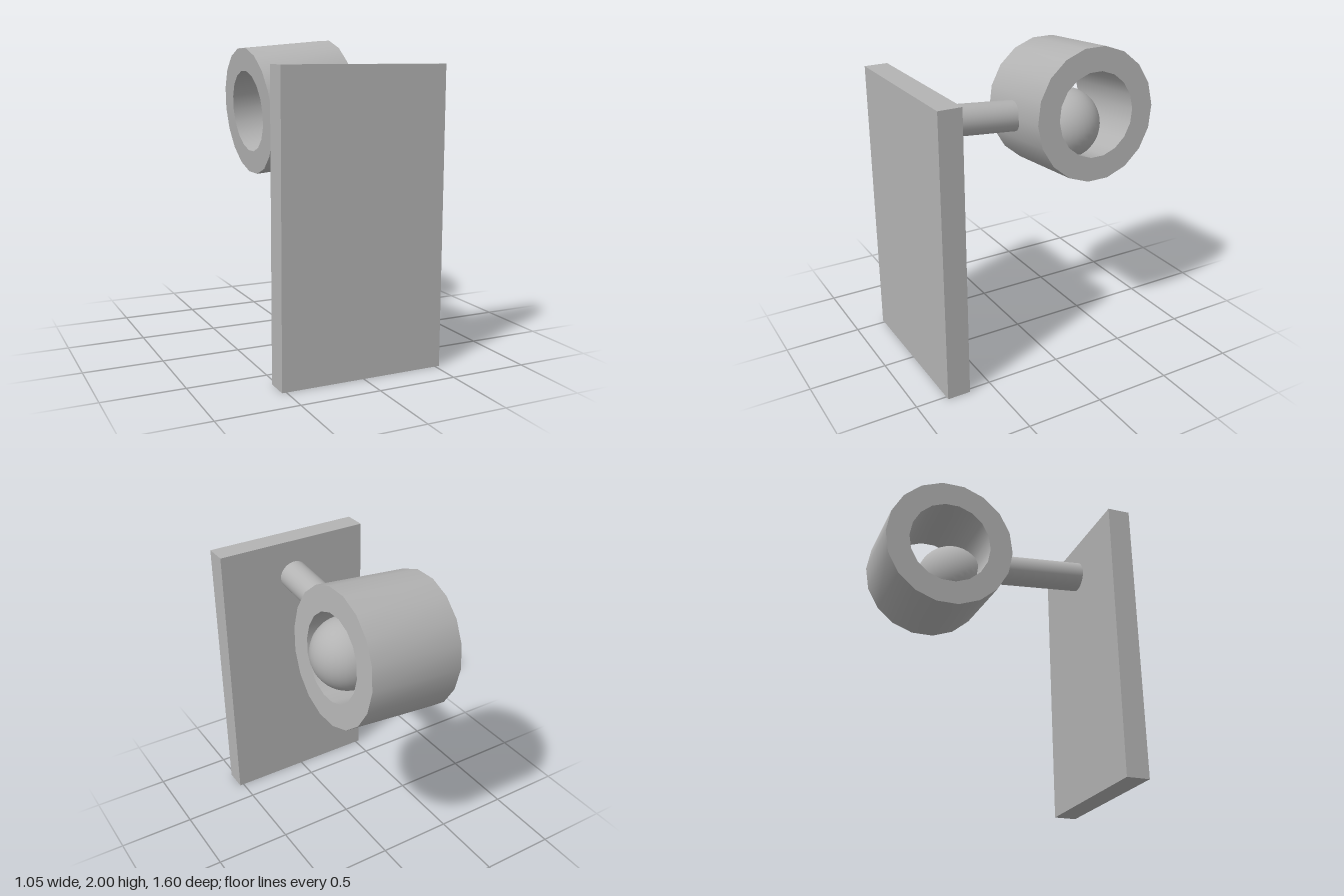
import * as THREE from 'three';
import { toCreasedNormals } from 'three/addons/utils/BufferGeometryUtils.js';

export function createModel() {
  const model = new THREE.Group();
  const grey = new THREE.MeshStandardMaterial({ color: 0xb3b3b3 });
  grey.name = 'grey';
  const tilt = THREE.MathUtils.degToRad(5);

  function add(name, geometry, x, y, z) {
    const mesh = new THREE.Mesh(geometry, grey);
    mesh.name = name;
    mesh.position.set(x, y, z);
    model.add(mesh);
    return mesh;
  }

  // Upright slab
  add('backPlate', new THREE.BoxGeometry(1.055, 1.85, 0.15), 0, 0.925, 0.725);

  // Arm from the slab into the ring wall, sloping gently down
  const armLength = 0.66;
  const armMid = 0.65 - (armLength / 2) * Math.cos(tilt);
  const arm = add('arm', new THREE.CylinderGeometry(0.1, 0.1, armLength, 32),
    0.005, 1.605 - (armLength / 2) * Math.sin(tilt), armMid);
  arm.rotation.x = Math.PI / 2 - tilt;

  // Thick eighteen-sided ring, its axis raised towards +x
  const outer = 0.4275, inner = 0.2735, half = 0.307;
  const profile = [[outer, -half], [outer, half], [inner, half], [inner, -half], [outer, -half]]
    .map(([r, y]) => new THREE.Vector2(r, y));
  const ringGeometry = toCreasedNormals(new THREE.LatheGeometry(profile, 18), 0.6);
  const ring = add('ring', ringGeometry, 0.032, 1.554, -0.3725);
  ring.rotation.z = tilt - Math.PI / 2;

  // Ball resting off-centre inside the ring
  add('ball', new THREE.SphereGeometry(0.23, 32, 24), 0.15, 1.497, -0.25);

  return model;
}
